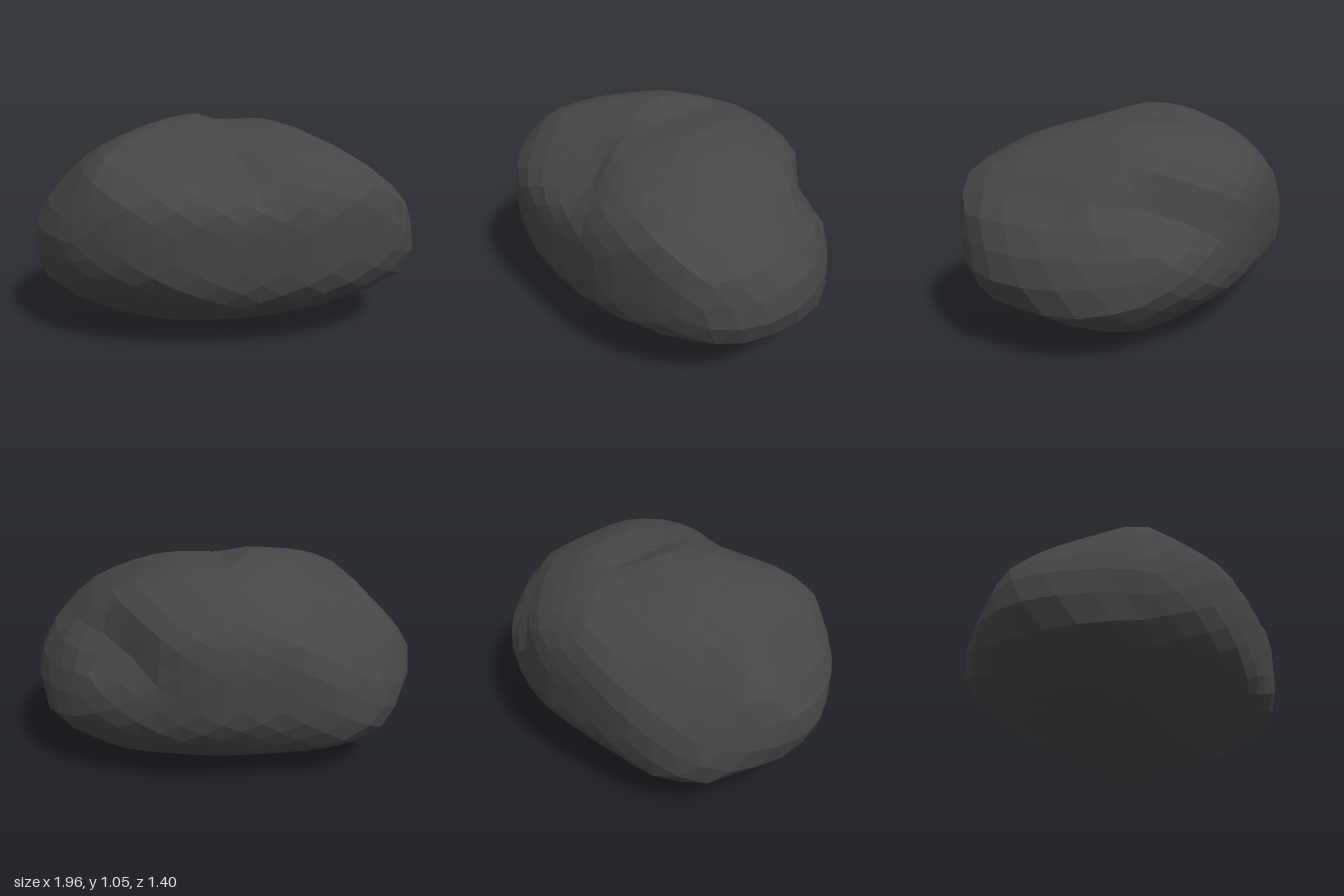
import * as THREE from 'three';

// Outlines of the boulder seen along six directions, as flat u,v pairs around its middle.
const MID = 0.535;
const front = [-1,.44, -.93,.6, -.78,.76, -.69,.88, -.59,.95, -.35,1.03, -.13,1.07, .02,1, .26,1.02, .4,.98, .68,.86,
  .91,.65, .99,.49, 1,.36, .93,.24, .77,.16, .48,.06, 0,0, -.25,.02, -.55,.08, -.66,.11, -.87,.22, -.96,.29];
const side = [.71,.63, .69,.7, .62,.82, .53,.9, .41,.95, .28,.975, .07,1.04, -.1,1.07, -.2,1.055, -.36,1, -.5,.945,
  -.6,.87, -.67,.75, -.71,.6, -.69,.36, -.57,.17, -.44,.08, -.28,.03, .04,0, .17,.015, .32,.055, .45,.13, .58,.19, .66,.26, .7,.36];
const plan = [-.05,-.71, .13,-.7, .33,-.62, .5,-.57, .74,-.44, .88,-.31, .94,-.2, 1,0, 1,.2, .96,.35, .86,.51, .7,.6,
  .34,.7, -.13,.7, -.34,.67, -.55,.6, -.77,.47, -.83,.4, -.89,.3, -.98,.05, -1,-.1, -.96,-.24, -.84,-.43, -.74,-.52, -.5,-.63, -.37,-.67];
const diagonalA = [-.92,.09, -.9,.155, -.73,.41, -.62,.47, -.46,.53, -.11,.59, .27,.57, .43,.49, .61,.36, .68,.155, .82,0,
  .9,-.24, .87,-.38, .77,-.47, .43,-.57, .17,-.58, -.06,-.56, -.38,-.48, -.62,-.32, -.78,-.19, -.87,-.09];
const diagonalB = [-.9,-.04, -.81,.22, -.68,.4, -.42,.57, -.28,.61, -.09,.62, .06,.61, .17,.55, .24,.49, .59,.39, .76,.3, .8,.24,
  .92,-.06, .89,-.24, .84,-.38, .63,-.53, .26,-.62, .04,-.62, -.27,-.53, -.61,-.36, -.87,-.13];
const diagonalC = [-.99,.03, -.94,.23, -.87,.32, -.61,.47, -.31,.58, 0,.605, .19,.6, .41,.53, .59,.37, .72,.2, .84,.03,
  .92,-.19, .82,-.45, .67,-.54, .23,-.59, 0,-.58, -.32,-.51, -.6,-.38, -.84,-.23, -.97,-.09];

const lowered = (outline, drop) => outline.map((n, i) => (i % 2 ? n - drop : n));

// An outline with the two axes of the tilted plane it lies in
function slanted(outline, azimuth, elevation) {
  const a = THREE.MathUtils.degToRad(azimuth), e = THREE.MathUtils.degToRad(elevation);
  return {
    outline: lowered(outline, -0.02),
    u: new THREE.Vector3(Math.cos(a), 0, -Math.sin(a)),
    v: new THREE.Vector3(-Math.sin(a) * Math.sin(e), Math.cos(e), -Math.cos(a) * Math.sin(e)),
  };
}
const X = new THREE.Vector3(1, 0, 0), Y = new THREE.Vector3(0, 1, 0), Z = new THREE.Vector3(0, 0, 1);
const limits = [
  { outline: lowered(front, MID), u: X, v: Y },
  { outline: lowered(side, MID), u: Z, v: Y },
  { outline: plan, u: X, v: Z },
  slanted(lowered(diagonalA, 0.04), 35, 25),
  slanted(lowered(diagonalB, 0.04), 215, 25),
  slanted(lowered(diagonalC, 0.04), 145, -25),
];

// Distance along a direction to where it leaves the outline's prism
function reach({ outline, u, v }, dir) {
  const du = dir.dot(u), dv = dir.dot(v), n = outline.length;
  let best = Infinity;
  for (let i = 0; i < n; i += 2) {
    const ax = outline[i], ay = outline[i + 1];
    const ex = outline[(i + 2) % n] - ax, ey = outline[(i + 3) % n] - ay;
    const det = du * ey - dv * ex;
    if (Math.abs(det) < 1e-9) continue;
    const t = (ax * ey - ay * ex) / det;
    const s = (ax * dv - ay * du) / det;
    if (t > 0 && s >= -1e-6 && s <= 1 + 1e-6) best = Math.min(best, t);
  }
  return best;
}

// Crease running over the back left shoulder
const crease = new THREE.CatmullRomCurve3([
  new THREE.Vector3(.48, .6 - MID, -.55),
  new THREE.Vector3(.65, .68 - MID, -.27),
  new THREE.Vector3(.76, .68 - MID, .02),
]).getPoints(24);

export function createModel() {
  const geometry = new THREE.IcosahedronGeometry(1, 7);
  const pos = geometry.attributes.position;
  const p = new THREE.Vector3();

  // Push every vertex out to a softly rounded meeting of the outlines
  const POWER = 30, SWELL = 1.014;
  for (let i = 0; i < pos.count; i++) {
    p.fromBufferAttribute(pos, i).normalize();
    let sum = 0;
    for (const limit of limits) sum += Math.pow(reach(limit, p), -POWER);
    p.multiplyScalar(SWELL * Math.pow(sum, -1 / POWER));
    const gap = Math.min(...crease.map((c) => c.distanceTo(p)));
    p.multiplyScalar(1 - 0.035 * Math.exp(-((gap / 0.12) ** 2)));
    pos.setXYZ(i, p.x, p.y, p.z);
  }

  // Centre it and stand it on the ground
  geometry.computeBoundingBox();
  const mid = geometry.boundingBox.getCenter(new THREE.Vector3());
  geometry.translate(-mid.x, -geometry.boundingBox.min.y, -mid.z);
  geometry.computeVertexNormals();

  const boulder = new THREE.Mesh(geometry, new THREE.MeshStandardMaterial({ color: 0x464646, flatShading: true }));
  boulder.name = 'boulder';
  const group = new THREE.Group();
  group.name = 'rock';
  group.add(boulder);
  return group;
}
